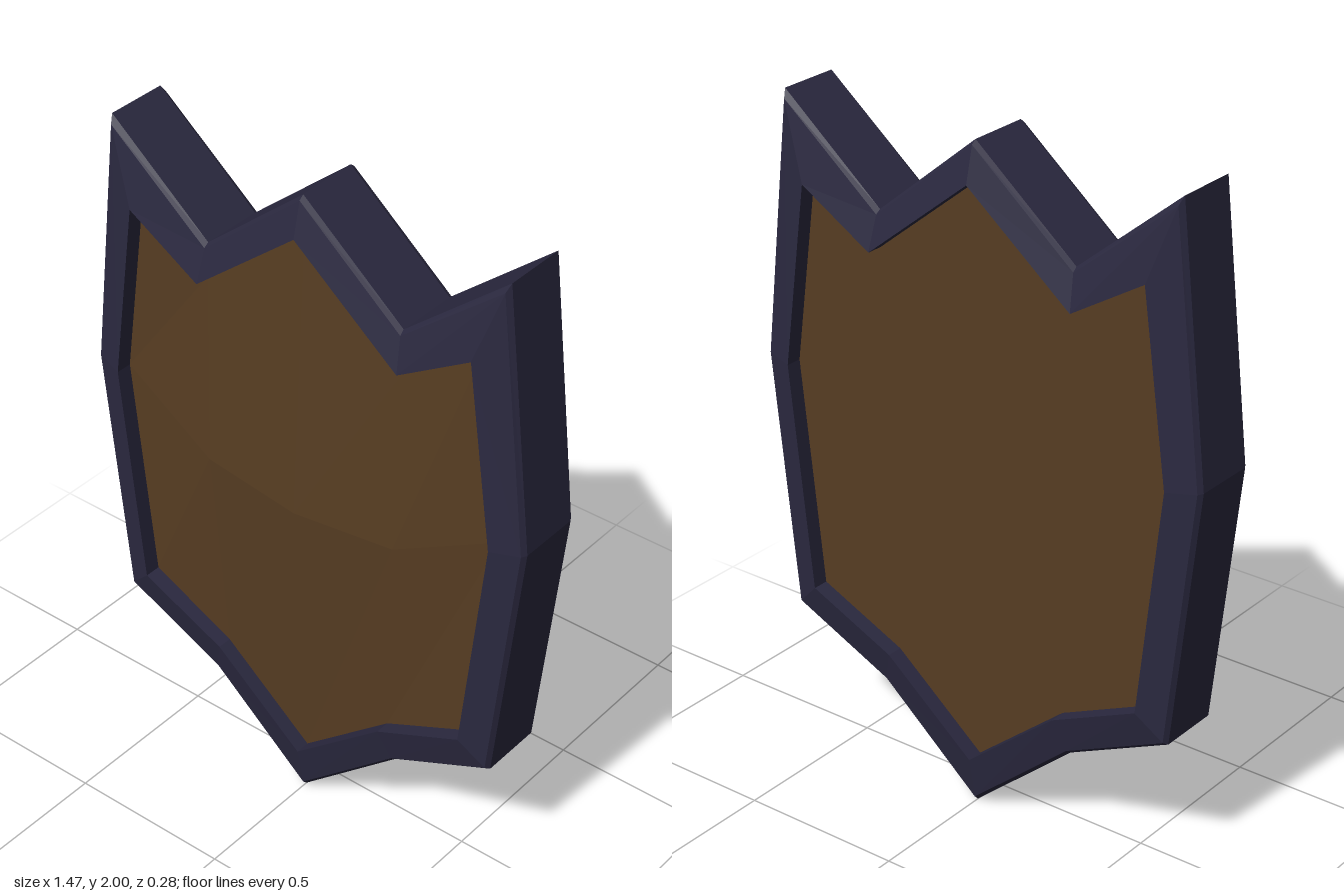
import * as THREE from 'three';

// Right half of each outline, top centre to bottom centre
const OUTER = [[0, 2], [0.325, 1.73], [0.65, 2], [0.735, 1.21], [0.65, 0.43], [0.325, 0.28], [0, 0]];
const INNER = [[0, 1.885], [0.335, 1.615], [0.565, 1.755], [0.64, 1.2], [0.565, 0.515], [0.29, 0.39], [0, 0.15]];

// Full counter-clockwise loop, seen from the front
function mirrorLoop(half) {
  const left = half.slice(1, -1).map(([x, y]) => [-x, y]);
  return [...left.reverse(), half[0], ...half.slice(1)].reverse();
}

const outer = mirrorLoop(OUTER);
const inner = mirrorLoop(INNER);

// Joins rows of points into a faceted surface
function loft(rows, closeU, closeV) {
  const n = rows[0].length;
  const index = [];
  for (let r = 0; r < rows.length - (closeV ? 0 : 1); r++) {
    for (let i = 0; i < n - (closeU ? 0 : 1); i++) {
      const r2 = (r + 1) % rows.length, i2 = (i + 1) % n;
      const a = r * n + i, b = r * n + i2, c = r2 * n + i2, d = r2 * n + i;
      index.push(a, b, c, a, c, d);
    }
  }
  const g = new THREE.BufferGeometry();
  g.setAttribute('position', new THREE.Float32BufferAttribute(rows.flat(2), 3));
  g.setIndex(index);
  const flat = g.toNonIndexed();
  flat.computeVertexNormals();
  return flat;
}

function addMesh(group, name, geometry, color) {
  const material = new THREE.MeshStandardMaterial({ color, flatShading: true });
  const mesh = new THREE.Mesh(geometry, material);
  mesh.name = name;
  group.add(mesh);
}

export function createModel() {
  const group = new THREE.Group();
  group.name = 'shield';
  const rimColor = 0x2b2940, woodColor = 0x573d22;

  // Rim: cross-section as [blend from outer to inner outline, z]
  const section = [
    [1, -0.09], [1, -0.14], [0.1, -0.115], [0, -0.1],
    [0, 0.09], [0.1, 0.105], [1, 0.13], [1, 0.08],
  ];
  const rings = section.map(([t, z]) => outer.map(([x, y], i) => [
    x + (inner[i][0] - x) * t,
    y + (inner[i][1] - y) * t,
    z,
  ]));
  addMesh(group, 'rim', loft(rings, true, true), rimColor);

  // Front panel: shallow dome of three rows, bottom to top
  const mirrorRow = (row) => [...row.slice(1).map(([x, y, z]) => [-x, y, z]).reverse(), ...row];
  const rows = [
    [[0, 0.15, 0.085], [0.29, 0.39, 0.085], [0.565, 0.515, 0.08]],
    [[0, 1.02, 0.138], [0.32, 1.04, 0.115], [0.64, 1.2, 0.08]],
    [[0, 1.885, 0.085], [0.335, 1.615, 0.085], [0.565, 1.755, 0.08]],
  ].map(mirrorRow);
  addMesh(group, 'frontPanel', loft(rows, false, false), woodColor);

  // Back panel: flat board
  const board = new THREE.ShapeGeometry(new THREE.Shape(inner.map(([x, y]) => new THREE.Vector2(x, y))));
  board.scale(-1, 1, 1).rotateY(Math.PI).translate(0, 0, -0.09);
  // The mirror and half turn leave the outline unchanged but reverse the winding
  const idx = board.index.array;
  for (let i = 0; i < idx.length; i += 3) [idx[i], idx[i + 1]] = [idx[i + 1], idx[i]];
  board.computeVertexNormals();
  addMesh(group, 'backPanel', board, woodColor);

  return group;
}
